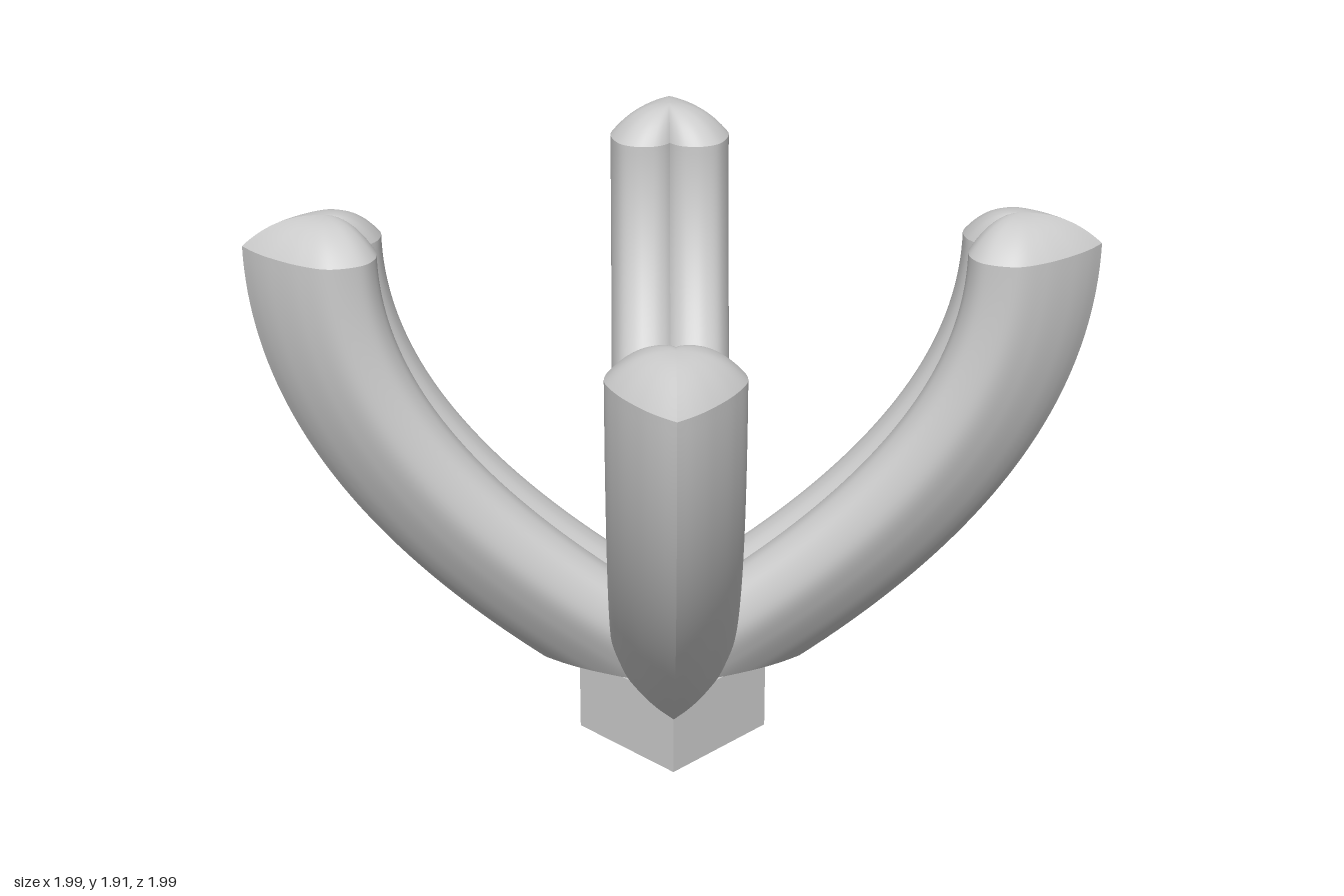
import * as THREE from 'three';

const FLOOR = 0.275, TOP = 1.8, DOME = 0.107, COLS = 48, ROWS = 40;
const material = new THREE.MeshStandardMaterial({ color: 0xcccccc });

// Half of the heart-shaped section: x = sideways, y = depth inward from the keel
const profile = new THREE.SplineCurve([
  [0, 0], [0.055, 0.045], [0.11, 0.105], [0.175, 0.2], [0.212, 0.3], [0.182, 0.402],
  [0.12, 0.442], [0.055, 0.44], [0.018, 0.42], [0, 0.4],
].map(([x, y]) => new THREE.Vector2(x, y))).getSpacedPoints(COLS);

// Keel curve in the plane of an arm: (distance from the axis, height)
const k0 = new THREE.Vector2(0.44, FLOOR);
const k1 = new THREE.Vector2(1.4, 0.97);
const k2 = new THREE.Vector2(1.4, TOP);
const keel = new THREE.QuadraticBezierCurve(k0, k1, k2);

// Section point swept to parameter u; below u = 0 the keel runs on straight
function sweep(p, u) {
  const c = Math.max(u, 0);
  const pos = keel.getPoint(c);
  const tan = k1.clone().sub(k0).multiplyScalar(1 - c).addScaledVector(k2.clone().sub(k1), c);
  if (u < 0) pos.addScaledVector(tan, 2 * u);
  tan.normalize();
  return { d: pos.x - p.y * tan.y, y: pos.y + p.y * tan.x, t: p.x };
}

// Where each line of the sweep leaves the floor plane or the mitre with its neighbour
const starts = profile.map((p) => {
  let lo = -1.5, hi = 1;
  for (let i = 0; i < 40; i++) {
    const mid = (lo + hi) / 2, q = sweep(p, mid);
    if (q.d >= q.t && q.y >= FLOOR) hi = mid; else lo = mid;
  }
  return hi;
});

// Grid surface over the half profile; side = 1 or -1 picks the half of the arm
function surface(rows, side, point) {
  const pos = [], index = [], w = COLS + 1;
  for (let j = 0; j <= rows; j++) {
    for (let i = 0; i <= COLS; i++) {
      const { d, y, t } = point(i, j / rows);
      pos.push((d + side * t) * Math.SQRT1_2, y, (d - side * t) * Math.SQRT1_2);
      if (j === rows || i === COLS) continue;
      const a = j * w + i, b = a + 1, c = a + w, e = c + 1;
      if (side > 0) index.push(a, b, c, b, e, c);
      else index.push(a, c, b, b, c, e);
    }
  }
  const g = new THREE.BufferGeometry();
  g.setAttribute('position', new THREE.Float32BufferAttribute(pos, 3));
  g.setIndex(index);
  g.computeVertexNormals();
  return g;
}

// Swept wall of the arm
const wall = (i, v) => sweep(profile[i], starts[i] + (1 - starts[i]) * v);

// Domed end: the section shrinks to a peak
const dome = (i, v) => {
  const s = Math.cos(v * Math.PI / 2), peak = 1.13;
  return {
    d: peak + (1.4 - profile[i].y - peak) * s,
    y: TOP + DOME * (1 - Math.pow(s, 2.4)),
    t: profile[i].x * s,
  };
};

// Flat underside, fanned out from the axis
const underside = (i, v) => {
  const q = wall(i, 0);
  return { d: q.d * v, y: FLOOR, t: q.t * v };
};

export function createModel() {
  const model = new THREE.Group();
  model.name = 'fourArmedHolder';

  const base = new THREE.Mesh(new THREE.BoxGeometry(0.455, FLOOR, 0.455), material);
  base.name = 'base';
  base.position.y = FLOOR / 2;
  model.add(base);

  const parts = [['armWall', ROWS, wall], ['armTip', 14, dome], ['armUnderside', 1, underside]];
  const halves = [1, -1].flatMap((side) =>
    parts.map(([name, rows, fn]) => ({ name, geometry: surface(rows, side, fn) })));

  for (let k = 0; k < 4; k++) {
    const arm = new THREE.Group();
    arm.name = ['frontLeftArm', 'backLeftArm', 'backRightArm', 'frontRightArm'][k];
    arm.rotation.y = k * Math.PI / 2;
    for (const { name, geometry } of halves) {
      const mesh = new THREE.Mesh(geometry, material);
      mesh.name = name;
      arm.add(mesh);
    }
    model.add(arm);
  }
  return model;
}
